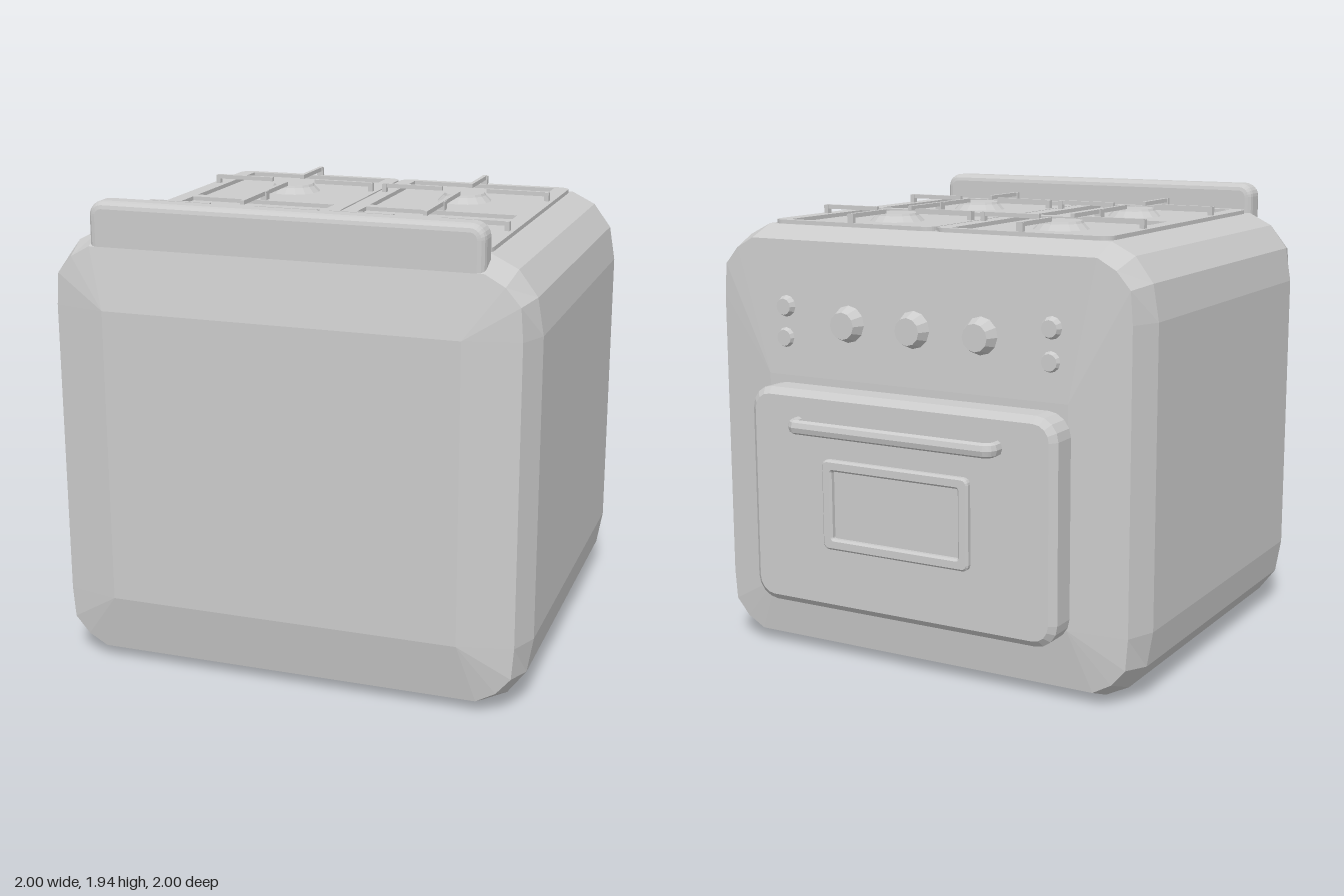
import * as THREE from 'three';

const material = new THREE.MeshStandardMaterial({ color: 0xcccccc, flatShading: true });

function addMesh(parent, name, geometry, x = 0, y = 0, z = 0) {
  const mesh = new THREE.Mesh(geometry, material);
  mesh.name = name;
  mesh.position.set(x, y, z);
  parent.add(mesh);
  return mesh;
}

// Rounded rectangle centred on (cx, cy), drawn into a Shape or Path
function roundedRect(target, cx, cy, w, h, r) {
  const x = w / 2, y = h / 2;
  target.moveTo(cx + x, cy - y + r);
  target.lineTo(cx + x, cy + y - r);
  target.absarc(cx + x - r, cy + y - r, r, 0, Math.PI / 2);
  target.lineTo(cx - x + r, cy + y);
  target.absarc(cx - x + r, cy + y - r, r, Math.PI / 2, Math.PI);
  target.lineTo(cx - x, cy - y + r);
  target.absarc(cx - x + r, cy - y + r, r, Math.PI, Math.PI * 1.5);
  target.lineTo(cx + x - r, cy - y);
  target.absarc(cx + x - r, cy - y + r, r, Math.PI * 1.5, Math.PI * 2);
  return target;
}

// Skins cross-sections that run from +z to -z, each counter-clockwise seen from +z
function skin(sections) {
  const n = sections[0].length;
  const index = [];
  for (let s = 0; s < sections.length - 1; s++) {
    for (let i = 0; i < n; i++) {
      const a = s * n + i, a1 = s * n + (i + 1) % n;
      index.push(a, a + n, a1, a1, a + n, a1 + n);
    }
  }
  const geometry = new THREE.BufferGeometry();
  geometry.setAttribute('position', new THREE.Float32BufferAttribute(sections.flat(2), 3));
  geometry.setIndex(index);
  const flat = geometry.toNonIndexed();
  flat.computeVertexNormals();
  return flat;
}

// Mirrors a four-point upper corner to all four corners, about mid height yc
function section(corner, z, yc = 0.905) {
  const c = corner, r = [...corner].reverse();
  return [
    ...c.map(([x, y]) => [x, yc + y, z]),
    ...r.map(([x, y]) => [-x, yc + y, z]),
    ...c.map(([x, y]) => [-x, yc - y, z]),
    ...r.map(([x, y]) => [x, yc - y, z]),
  ];
}
const sharp = (x, y) => Array(4).fill([x, y]);

function createBody() {
  const outer = [[1, 0.61], [0.975, 0.755], [0.9, 0.855], [0.8, 0.905]];
  const inset = [[0.95, 0.61], [0.94, 0.74], [0.88, 0.81], [0.8, 0.855]];
  return skin([
    section(sharp(0, 0), 1),
    section(sharp(0.73, 0.61), 1),
    section(inset, 0.95),
    section(outer, 0.83),
    section(outer, -0.63),
    section(inset, -0.755),
    section(sharp(0.7, 0.45), -0.788, 0.75),
    section(sharp(0, 0), -0.788, 0.75),
  ]);
}

// One half of the hob: panel with two recesses, two burners and their grates
function createHob(side) {
  const hob = new THREE.Group();
  hob.name = side > 0 ? 'leftHob' : 'rightHob';
  const cx = side * 0.397;

  const shape = roundedRect(new THREE.Shape(), cx, -0.098, 0.785, 1.445, 0.05);
  for (const cz of [-0.26, 0.45]) {
    shape.holes.push(roundedRect(new THREE.Path(), cx, -cz, 0.65, 0.66, 0.004));
  }
  const panel = new THREE.ExtrudeGeometry(shape, { depth: 0.02, bevelEnabled: false, curveSegments: 4 });
  panel.rotateX(-Math.PI / 2);
  addMesh(hob, 'hobPanel', panel, 0, 1.807, 0);

  for (const z of [-0.26, 0.45]) {
    addMesh(hob, 'burnerBase', new THREE.CylinderGeometry(0.093, 0.118, 0.025, 16), cx, 1.8225, z);
    addMesh(hob, 'burnerCap', new THREE.CylinderGeometry(0.088, 0.093, 0.01, 16), cx, 1.84, z);
    for (const dir of [-1, 1]) {
      addMesh(hob, 'grateSideBar', new THREE.BoxGeometry(0.27, 0.018, 0.018), cx + dir * 0.235, 1.856, z);
      addMesh(hob, 'grateFoot', new THREE.BoxGeometry(0.02, 0.055, 0.026), cx + dir * 0.365, 1.836, z);
    }
  }
  // Long bars, broken over the burners
  for (const [z0, z1] of [[-0.62, -0.36], [-0.16, 0.35], [0.55, 0.81]]) {
    addMesh(hob, 'grateLongBar', new THREE.BoxGeometry(0.018, 0.018, z1 - z0), cx, 1.856, (z0 + z1) / 2);
  }
  for (const [z, d] of [[-0.61, 0.02], [0.095, 0.036], [0.8, 0.02]]) {
    addMesh(hob, 'grateFoot', new THREE.BoxGeometry(0.028, 0.055, d), cx, 1.836, z);
  }
  return hob;
}

function createDoor() {
  const door = new THREE.Group();
  door.name = 'ovenDoor';

  const slab = new THREE.ExtrudeGeometry(roundedRect(new THREE.Shape(), 0, 0.71, 1.37, 0.86, 0.07), {
    depth: 0.125, bevelThickness: 0.025, bevelSize: 0.028, bevelSegments: 1, curveSegments: 2,
  });
  addMesh(door, 'doorSlab', slab, 0, 0, -0.89);

  const frame = roundedRect(new THREE.Shape(), 0, 0.71, 0.67, 0.36, 0.02);
  frame.holes.push(roundedRect(new THREE.Path(), 0, 0.71, 0.61, 0.30, 0.015));
  const frameGeometry = new THREE.ExtrudeGeometry(frame, {
    depth: 0.025, bevelThickness: 0.008, bevelSize: 0.008, bevelSegments: 1, curveSegments: 2,
  });
  addMesh(door, 'windowFrame', frameGeometry, 0, 0, -0.932);

  // Handle bar with chamfered bends into the door
  const points = [[-0.465, -0.9], [-0.465, -0.96], [-0.445, -0.98], [0.445, -0.98], [0.465, -0.96], [0.465, -0.9]]
    .map(([x, z]) => new THREE.Vector3(x, 0, z));
  const path = new THREE.CurvePath();
  for (let i = 0; i < points.length - 1; i++) path.add(new THREE.LineCurve3(points[i], points[i + 1]));
  const handle = new THREE.TubeGeometry(path, 96, 0.02, 8);
  handle.scale(1, 1.5, 1);
  addMesh(door, 'doorHandle', handle, 0, 1.03, 0);
  return door;
}

function createKnobs() {
  const knobs = new THREE.Group();
  knobs.name = 'controlKnobs';
  const addKnob = (name, x, y, top, base, zFront) => {
    const depth = -0.765 - zFront;
    const geometry = new THREE.CylinderGeometry(top, base, depth, 12);
    geometry.rotateX(-Math.PI / 2);
    addMesh(knobs, name, geometry, x, y, zFront + depth / 2);
  };
  for (const x of [-0.31, 0, 0.31]) addKnob('burnerKnob', x, 1.43, 0.056, 0.08, -0.824);
  for (const x of [-0.62, 0.62]) {
    for (const y of [1.355, 1.485]) addKnob('smallKnob', x, y, 0.034, 0.048, -0.795);
  }
  return knobs;
}

export function createModel() {
  const model = new THREE.Group();
  model.name = 'stove';
  addMesh(model, 'body', createBody());

  // Raised rail along the edge of the hob
  const rail = roundedRect(new THREE.Shape(), 0, 1.8, 1.54, 0.22, 0.03);
  const railGeometry = new THREE.ExtrudeGeometry(rail, {
    depth: 0.06, bevelThickness: 0.03, bevelSize: 0.03, bevelSegments: 3, curveSegments: 3,
  });
  addMesh(model, 'backRail', railGeometry, 0, 0, 0.86);

  model.add(createHob(1), createHob(-1), createDoor(), createKnobs());
  return model;
}
